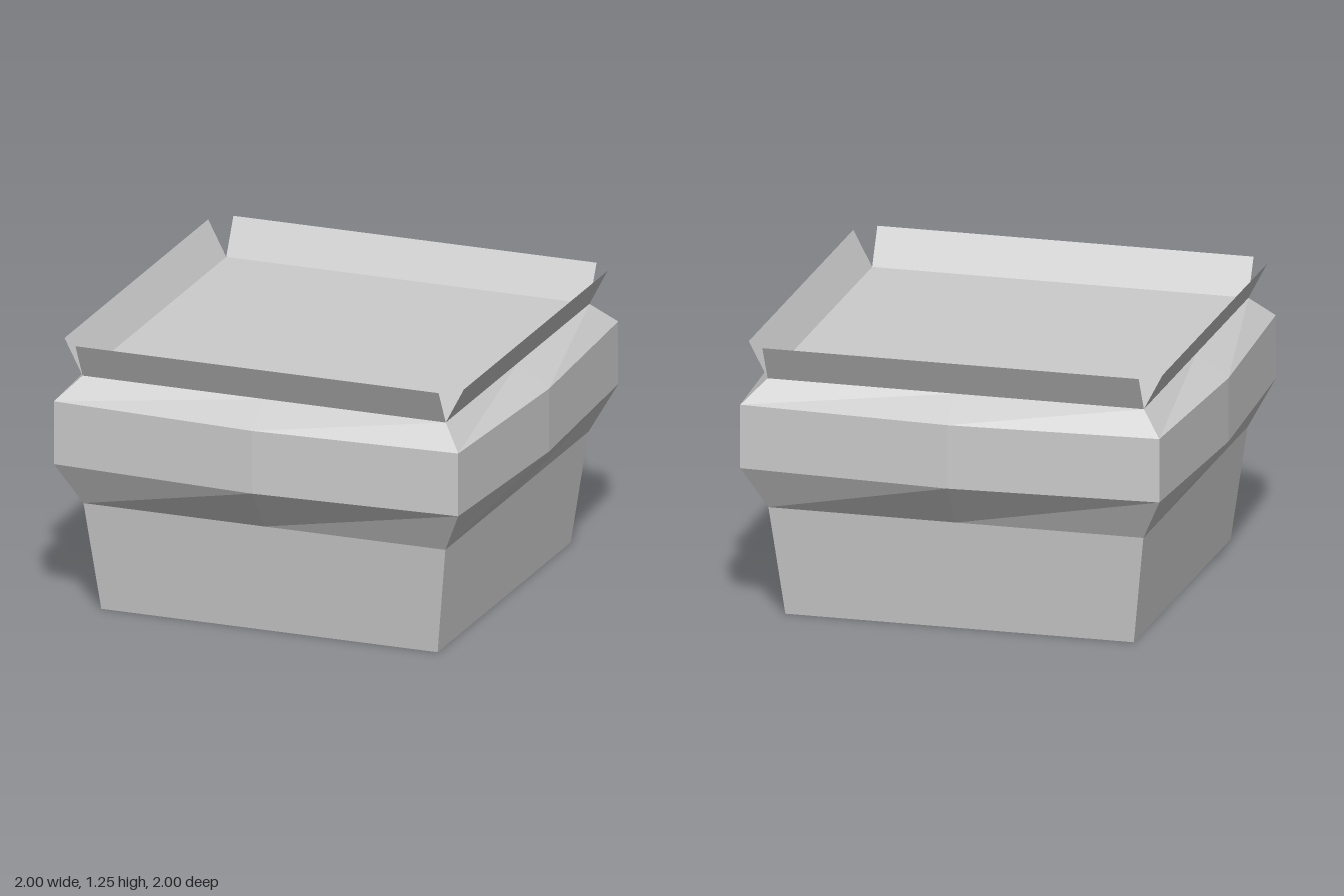
import * as THREE from 'three';

const material = new THREE.MeshStandardMaterial({ color: 0xcccccc, flatShading: true });
const thinMaterial = new THREE.MeshStandardMaterial({ color: 0xcccccc, flatShading: true, side: THREE.DoubleSide });

// Eight points of a square ring: corners at c, edge midpoints pushed out to m
function ring(y, c, m) {
  return [[c, c], [m, 0], [c, -c], [0, -m], [-c, -c], [-m, 0], [-c, c], [0, m]]
    .map(([x, z]) => new THREE.Vector3(x, y, z));
}

// Closed solid skinned through a stack of rings, bottom to top
function loft(rings) {
  const points = [];
  const tri = (a, b, c) => points.push(a, b, c);
  for (let r = 0; r < rings.length - 1; r++) {
    const lo = rings[r], hi = rings[r + 1];
    for (let i = 0; i < 8; i++) {
      const j = (i + 1) % 8;
      tri(lo[i], lo[j], hi[j]);
      tri(lo[i], hi[j], hi[i]);
    }
  }
  const bottom = rings[0], top = rings[rings.length - 1];
  const bottomCentre = new THREE.Vector3(0, bottom[0].y, 0);
  const topCentre = new THREE.Vector3(0, top[0].y, 0);
  for (let i = 0; i < 8; i++) {
    const j = (i + 1) % 8;
    tri(bottomCentre, bottom[j], bottom[i]);
    tri(topCentre, top[i], top[j]);
  }
  const geometry = new THREE.BufferGeometry().setFromPoints(points);
  geometry.computeVertexNormals();
  return geometry;
}

export function createModel() {
  const group = new THREE.Group();

  // Tapered box with a bulging band and a flat lid
  const body = new THREE.Mesh(loft([
    ring(0, 0.79, 0.79),
    ring(0.5, 0.85, 0.85),
    ring(0.7, 0.95, 1),
    ring(0.99, 0.95, 1),
    ring(1.09, 0.853, 0.853),
  ]), material);
  body.name = 'body';
  group.add(body);

  // Four thin flaps leaning outward from the lid edges
  const rise = 0.163, lean = 0.085;
  const names = ['frontFlap', 'leftFlap', 'backFlap', 'rightFlap'];
  names.forEach((name, i) => {
    const geometry = new THREE.PlaneGeometry(1.706, Math.hypot(rise, lean));
    geometry.translate(0, Math.hypot(rise, lean) / 2, 0);
    geometry.rotateX(Math.atan2(lean, rise));
    geometry.translate(0, 1.09, 0.853);
    geometry.rotateY(i * Math.PI / 2);
    const flap = new THREE.Mesh(geometry, thinMaterial);
    flap.name = name;
    group.add(flap);
  });

  return group;
}
